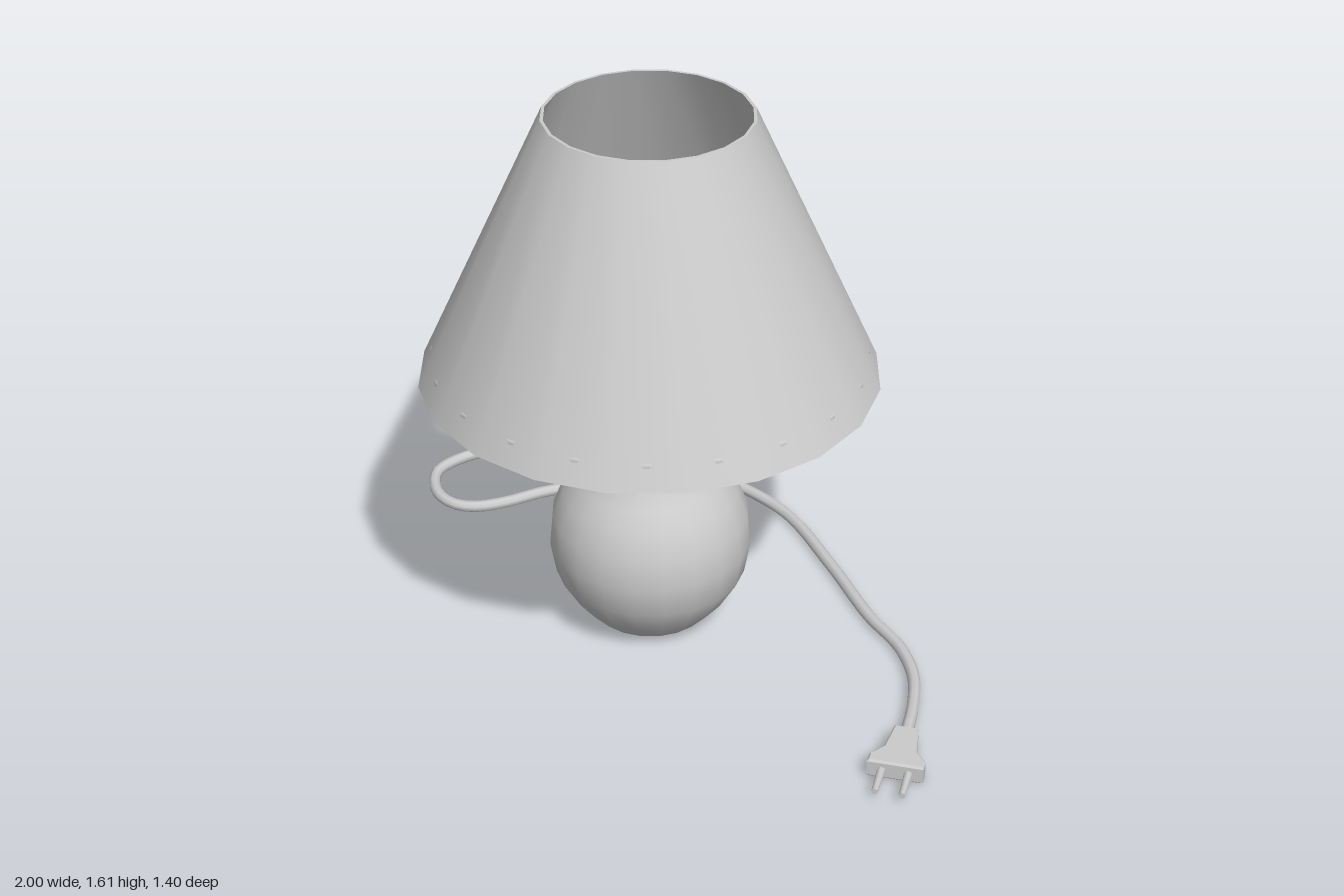
import * as THREE from 'three';
import { toCreasedNormals } from 'three/addons/utils/BufferGeometryUtils.js';

const material = new THREE.MeshStandardMaterial({ color: 0xcccccc });
const SIDES = 20;

function part(name, geometry, parent) {
  const mesh = new THREE.Mesh(geometry, material);
  mesh.name = name;
  parent.add(mesh);
  return mesh;
}

// Revolves [radius, height] pairs, listed upward along the outside
function turned(profile, sides = SIDES, crease = 0.7) {
  const points = profile.map(([r, y]) => new THREE.Vector2(r, y));
  return toCreasedNormals(new THREE.LatheGeometry(points, sides), crease);
}

// Flat arm along +x that widens and drops toward the shade
function spokeGeometry() {
  const inner = 0.08, outer = 0.605;
  const geometry = new THREE.BoxGeometry(1, 0.012, 1).toNonIndexed();
  const p = geometry.attributes.position;
  for (let i = 0; i < p.count; i++) {
    const t = p.getX(i) + 0.5;
    p.setX(i, inner + (outer - inner) * t);
    p.setY(i, p.getY(i) + 0.95 - 0.07 * t);
    p.setZ(i, p.getZ(i) * (0.055 + 0.06 * t));
  }
  geometry.computeVertexNormals();
  return geometry;
}

function createLamp() {
  const lamp = new THREE.Group();
  lamp.name = 'lamp';
  lamp.position.set(-0.035, 0, 0.046);

  // Round body with a long neck and a rolled lip
  part('base', turned([
    [0, 0.005], [0.13, 0.005], [0.17, 0.03], [0.225, 0.09], [0.276, 0.175],
    [0.293, 0.27], [0.285, 0.36], [0.254, 0.44], [0.22, 0.49], [0.148, 0.59],
    [0.128, 0.69], [0.116, 0.8], [0.111, 0.92], [0.117, 0.925],
    [0.117, 0.945], [0.1, 0.955], [0, 0.955],
  ]), lamp);

  // Thin tapered shade, open at both ends
  part('shade', turned([
    [0.641, 0.825], [0.65, 0.825], [0.293, 1.615], [0.284, 1.615], [0.641, 0.825],
  ]), lamp);

  // Shade carrier: ring, hub and three arms
  const ring = part('shadeRing', new THREE.TorusGeometry(0.602, 0.014, 8, 40), lamp);
  ring.rotation.x = Math.PI / 2;
  ring.position.y = 0.885;
  const hub = part('hub', new THREE.CylinderGeometry(0.11, 0.11, 0.014, SIDES), lamp);
  hub.position.y = 0.955;
  const arm = spokeGeometry();
  for (let i = 0; i < 3; i++) {
    part('shadeSpoke', arm, lamp).rotation.y = THREE.MathUtils.degToRad(75 + 120 * i);
  }

  // Slim post with a pointed finial
  part('finial', turned([
    [0.03, 0.96], [0.018, 0.985], [0.018, 1.065], [0.038, 1.075],
    [0.038, 1.145], [0.012, 1.17], [0, 1.175],
  ], 12), lamp);
  return lamp;
}

function createPlug() {
  const plug = new THREE.Group();
  plug.name = 'plug';
  plug.position.set(0.885, 0.033, 0.28);
  plug.rotation.y = THREE.MathUtils.degToRad(13);

  // Body outline, mirrored about its centre line
  const side = [[0.034, 0], [0.046, 0.1], [0.078, 0.14], [0.078, 0.175]];
  const outline = [...side, ...side.map(([x, z]) => [-x, z]).reverse()];
  const shape = new THREE.Shape(outline.map(([x, z]) => new THREE.Vector2(x, z)));
  const body = new THREE.ExtrudeGeometry(shape, {
    depth: 0.044, bevelEnabled: true, bevelSegments: 1,
    bevelSize: 0.006, bevelThickness: 0.006, bevelOffset: -0.006,
  });
  body.rotateX(Math.PI / 2).translate(0, 0.022, 0);
  part('plugBody', body, plug);

  // Pair of prongs
  for (const s of [-1, 1]) {
    const prong = part('prong', new THREE.CylinderGeometry(0.009, 0.012, 0.1, 8), plug);
    prong.rotation.x = Math.PI / 2;
    prong.position.set(s * 0.037, 0, 0.22);
  }
  return plug;
}

export function createModel() {
  const model = new THREE.Group();
  model.name = 'tableLamp';
  model.add(createLamp());

  // Cord leaves the back of the base, loops round and runs to the plug
  const path = [
    [-0.09, 0.14, -0.14], [-0.115, 0.125, -0.23], [-0.17, 0.085, -0.37],
    [-0.27, 0.055, -0.455], [-0.42, 0.035, -0.462], [-0.53, 0.024, -0.43],
    [-0.62, 0.022, -0.35], [-0.7, 0.022, -0.24], [-0.77, 0.022, -0.175],
    [-0.84, 0.022, -0.158], [-0.92, 0.022, -0.195], [-0.98, 0.022, -0.295],
    [-0.955, 0.022, -0.4], [-0.87, 0.022, -0.51], [-0.7, 0.022, -0.61],
    [-0.5, 0.022, -0.668], [-0.3, 0.022, -0.684], [-0.13, 0.022, -0.668],
    [0.1, 0.022, -0.59], [0.35, 0.022, -0.39], [0.56, 0.022, -0.2],
    [0.7, 0.022, -0.1], [0.79, 0.022, 0.01], [0.845, 0.025, 0.14],
    [0.887, 0.032, 0.29],
  ].map((p) => new THREE.Vector3(...p));
  const curve = new THREE.CatmullRomCurve3(path);
  part('cord', new THREE.TubeGeometry(curve, 120, 0.018, 8), model);

  model.add(createPlug());
  return model;
}
